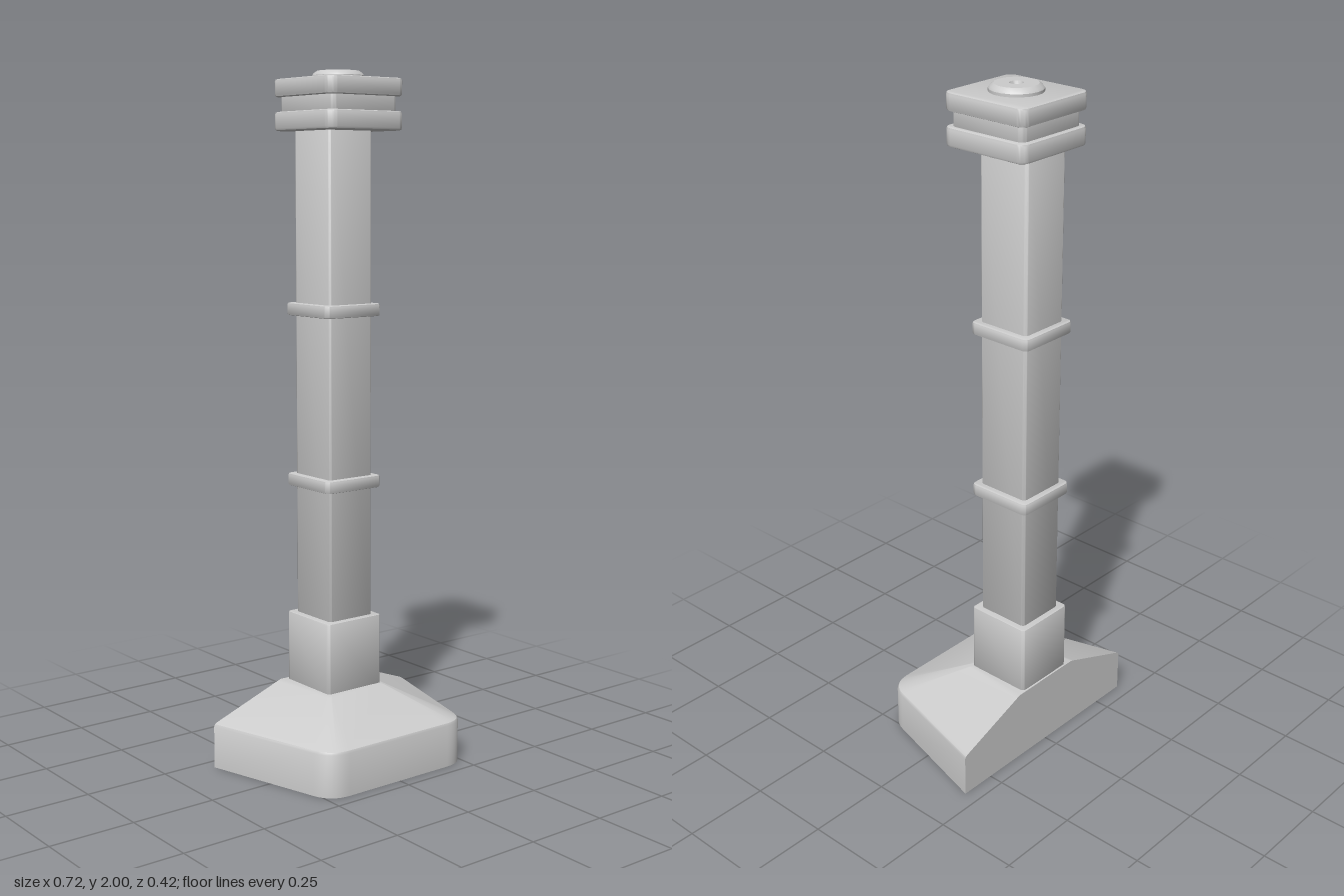
import * as THREE from 'three';
import { toCreasedNormals } from 'three/addons/utils/BufferGeometryUtils.js';

const grey = new THREE.MeshStandardMaterial({ color: 0xcccccc });
const greyOpen = new THREE.MeshStandardMaterial({ color: 0xcccccc, side: THREE.DoubleSide });

// Upright block with rounded corners (r) and softened top and bottom edges (bevel)
function block(name, w, d, y0, y1, z, r, bevel) {
  const x = w / 2 - bevel, y = d / 2 - bevel;
  const s = new THREE.Shape();
  s.moveTo(-x + r, -y);
  s.lineTo(x - r, -y);
  s.absarc(x - r, -y + r, r, -Math.PI / 2, 0);
  s.lineTo(x, y - r);
  s.absarc(x - r, y - r, r, 0, Math.PI / 2);
  s.lineTo(-x + r, y);
  s.absarc(-x + r, y - r, r, Math.PI / 2, Math.PI);
  s.lineTo(-x, -y + r);
  s.absarc(-x + r, -y + r, r, Math.PI, Math.PI * 1.5);
  const g = new THREE.ExtrudeGeometry(s, {
    depth: y1 - y0 - 2 * bevel, bevelEnabled: true, bevelSize: bevel,
    bevelThickness: bevel, bevelSegments: 2, curveSegments: 5,
  });
  g.rotateX(-Math.PI / 2);
  g.translate(0, y0 + bevel, z);
  const mesh = new THREE.Mesh(toCreasedNormals(g, 0.7), grey);
  mesh.name = name;
  return mesh;
}

// Trapezoid outline at height y: wide flat back, narrower front with rounded corners
const BACK = -0.205;
function ring(y, backHalf, frontHalf, front, r) {
  const corner = new THREE.Vector3(frontHalf, y, front);
  const back = new THREE.Vector3(backHalf, y, BACK);
  const side = back.clone().sub(corner).setLength(r).add(corner);
  const inner = new THREE.Vector3(frontHalf - r, y, front);
  const half = [back, ...new THREE.QuadraticBezierCurve3(side, corner, inner).getPoints(8)];
  const mirrored = half.map((p) => new THREE.Vector3(-p.x, p.y, p.z)).reverse();
  return [...half, ...mirrored];
}

// Hollow foot, open underneath: walls, soft rim, sloping roof and flat top
function foot() {
  const rings = [
    ring(0, 0.358, 0.245, 0.211, 0.065),
    ring(0.124, 0.358, 0.245, 0.211, 0.065),
    ring(0.131, 0.355, 0.242, 0.208, 0.063),
    ring(0.135, 0.348, 0.236, 0.201, 0.06),
    ring(0.217, 0.13, 0.106, 0.022, 0.015),
    ring(0.221, 0.118, 0.098, 0.01, 0.012),
  ];
  const pos = [];
  const tri = (...pts) => pts.forEach((p) => pos.push(p.x, p.y, p.z));
  const n = rings[0].length;
  for (let k = 0; k < rings.length - 1; k++) {
    const a = rings[k], b = rings[k + 1];
    for (let i = 0; i < n; i++) {
      const j = (i + 1) % n;
      tri(a[i], b[i], a[j]);
      tri(a[j], b[i], b[j]);
    }
  }
  const top = rings[rings.length - 1];
  const centre = new THREE.Vector3(0, 0.221, -0.1);
  for (let i = 0; i < n; i++) tri(centre, top[(i + 1) % n], top[i]);
  const g = new THREE.BufferGeometry();
  g.setAttribute('position', new THREE.Float32BufferAttribute(pos, 3));
  const mesh = new THREE.Mesh(toCreasedNormals(g, 0.6), greyOpen);
  mesh.name = 'foot';
  return mesh;
}

// Round button on the cap with a small dimple in the middle
function button(z) {
  const profile = [
    [0.074, 1.97], [0.074, 1.987], [0.07, 1.993], [0.06, 2], [0.019, 2],
    [0.016, 1.992], [0, 1.992],
  ].map(([x, y]) => new THREE.Vector2(x, y));
  const g = new THREE.LatheGeometry(profile, 18);
  g.translate(0, 0, z);
  const mesh = new THREE.Mesh(toCreasedNormals(g, 0.5), grey);
  mesh.name = 'button';
  return mesh;
}

export function createModel() {
  const model = new THREE.Group();
  model.name = 'post';
  const postZ = -0.097, capZ = -0.073;

  model.add(foot());

  // Post with its sleeve and collars
  model.add(block('sleeve', 0.196, 0.204, 0.2, 0.43, postZ, 0.008, 0.004));
  model.add(block('column', 0.156, 0.166, 0.4, 1.86, postZ, 0.008, 0.004));
  for (const y of [0.83, 1.33]) {
    model.add(block('collar', 0.196, 0.204, y - 0.018, y + 0.018, postZ, 0.012, 0.005));
  }

  // Cap: two plates around a narrower neck
  const cap = new THREE.Group();
  cap.name = 'cap';
  cap.add(block('lowerPlate', 0.266, 0.28, 1.835, 1.888, capZ, 0.022, 0.007));
  cap.add(block('neck', 0.236, 0.25, 1.87, 1.95, capZ, 0.018, 0.004));
  cap.add(block('upperPlate', 0.266, 0.28, 1.929, 1.979, capZ, 0.022, 0.007));
  cap.add(button(capZ));
  model.add(cap);

  return model;
}
